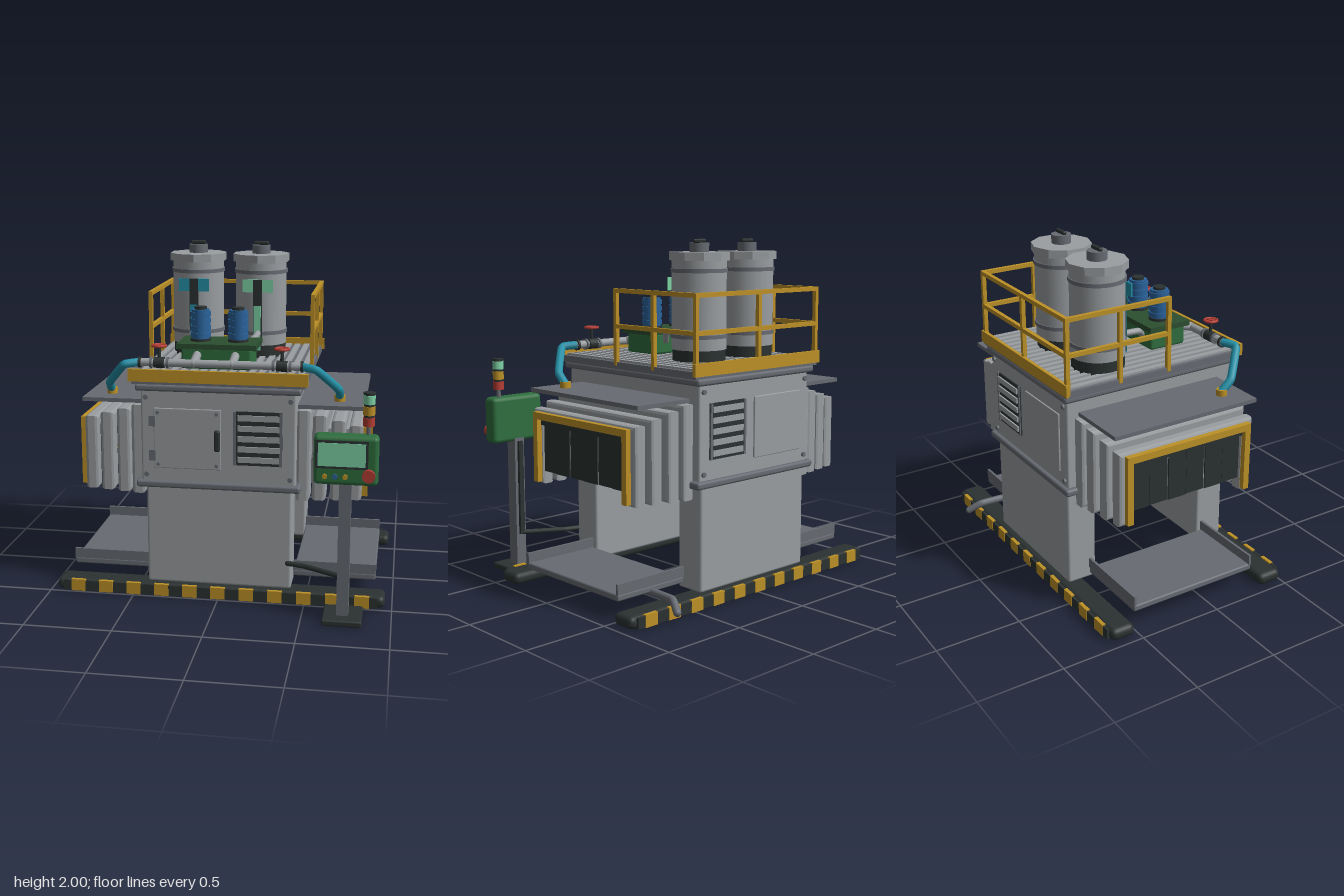
import * as THREE from 'three';
import { RoundedBoxGeometry } from 'three/addons/geometries/RoundedBoxGeometry.js';

export function createModel() {
  const root = new THREE.Group();
  const mat = (name, color) => {
    const m = new THREE.MeshStandardMaterial({ color });
    m.name = name;
    return m;
  };
  const light = mat('lightGrey', 0x9a9ea1), mid = mat('midGrey', 0x676b72), dark = mat('charcoal', 0x2b3231);
  const gold = mat('safetyYellow', 0xbd9127), green = mat('green', 0x2f6f3f), deep = mat('deepGreen', 0x2c4f31);
  const teal = mat('teal', 0x2391a8), mint = mat('mint', 0x7ed3a6), blue = mat('blue', 0x2a639c), red = mat('red', 0xb63e34);

  const add = (name, geo, m, x = 0, y = 0, z = 0) => {
    const o = new THREE.Mesh(geo, m);
    o.name = name;
    o.position.set(x, y, z);
    root.add(o);
    return o;
  };
  // box given by its low and high limits, optionally rounded
  const box = (name, m, x0, x1, y0, y1, z0, z1, r = 0) => {
    const s = [x1 - x0, y1 - y0, z1 - z0];
    const g = r ? new RoundedBoxGeometry(...s, 2, r) : new THREE.BoxGeometry(...s);
    return add(name, g, m, (x0 + x1) / 2, (y0 + y1) / 2, (z0 + z1) / 2);
  };
  // upright cylinder from y0 to y1
  const cyl = (name, m, r, x, y0, y1, z, seg = 20) =>
    add(name, new THREE.CylinderGeometry(r, r, y1 - y0, seg), m, x, (y0 + y1) / 2, z);
  const cylX = (name, m, r, x, len, y, z) => {
    const o = add(name, new THREE.CylinderGeometry(r, r, len, 16), m, x, y, z);
    o.rotation.z = Math.PI / 2;
  };
  const cylZ = (name, m, r, x, y, z, len) => {
    const o = add(name, new THREE.CylinderGeometry(r, r, len, 16), m, x, y, z);
    o.rotation.x = Math.PI / 2;
  };
  const pipe = (name, m, r, pts) => {
    const c = new THREE.CatmullRomCurve3(pts.map(p => new THREE.Vector3(...p)), false, 'catmullrom', 0.15);
    add(name, new THREE.TubeGeometry(c, 32, r, 10), m);
    // end caps
    for (const p of [pts[0], pts[pts.length - 1]]) add(name + 'End', new THREE.SphereGeometry(r, 10, 8), m, ...p);
  };
  // inverted U in the z-y plane, centred on the tunnel, extruded along x from x0
  const ZC = -0.09;
  const arch = (name, m, x0, w, half, top, inHalf, inTop, bottom, bevel) => {
    const b = bevel, s = new THREE.Shape();
    [[-half + b, bottom + b], [-half + b, top - b], [half - b, top - b], [half - b, bottom + b],
      [inHalf + b, bottom + b], [inHalf + b, inTop + b], [-inHalf - b, inTop + b], [-inHalf - b, bottom + b]]
      .forEach(([u, v], i) => i ? s.lineTo(u, v) : s.moveTo(u, v));
    s.closePath();
    const g = new THREE.ExtrudeGeometry(s, { depth: w - 2 * b, bevelEnabled: b > 0, bevelSize: b, bevelThickness: b, bevelSegments: 2 });
    g.translate(0, 0, b - w / 2);
    g.rotateY(Math.PI / 2);
    add(name, g, m, x0 + w / 2, 0, ZC);
  };

  // skids with hazard strips on their outer edges
  for (const [z0, z1, edge] of [[0.345, 0.495, 0.493], [-0.67, -0.525, -0.675]]) {
    box('skid', dark, -0.96, 0.96, 0.01, 0.08, z0, z1, 0.03);
    box('hazardStripBase', dark, -0.92, 0.92, 0.015, 0.075, edge - 0.008, edge + 0.008);
    for (let i = 0; i < 11; i++) {
      const x = -0.83 + 0.166 * i;
      box('hazardStripe', gold, x - 0.042, x + 0.042, 0.012, 0.082, edge - 0.011, edge + 0.011);
    }
  }

  // legs, housing and its trims
  box('frontLeg', light, -0.42, 0.42, 0.08, 0.68, 0.27, 0.45, 0.015);
  box('backLeg', light, -0.42, 0.42, 0.08, 0.68, -0.63, -0.45, 0.015);
  box('housing', light, -0.44, 0.44, 0.68, 1.25, -0.635, 0.475, 0.012);
  box('lowerTrim', mid, -0.47, 0.47, 0.668, 0.71, -0.66, 0.495, 0.015);
  box('upperTrim', mid, -0.47, 0.47, 1.23, 1.27, -0.66, 0.495, 0.015);
  box('roofDeck', mid, -0.49, 0.49, 1.27, 1.31, -0.66, 0.49);
  for (let i = 0; i < 17; i++) {
    const x = -0.45 + i * 0.05625;
    box('deckRib', light, x - 0.017, x + 0.017, 1.31, 1.322, -0.63, 0.47);
  }
  box('frontToeBoard', gold, -0.505, 0.505, 1.285, 1.355, 0.48, 0.5);
  box('backToeBoard', gold, -0.505, 0.505, 1.285, 1.355, -0.67, -0.65);

  // front and back panels, vents and bolts
  for (const [s, z] of [[1, 0.475], [-1, -0.635]]) {
    const slab = (name, m, x0, x1, y0, y1, t, r) => box(name, m, x0, x1, y0, y1, Math.min(z, z + s * t), Math.max(z, z + s * t), r);
    slab('accessPanel', light, -0.365, 0.02, 0.785, 1.135, 0.012, 0.005);
    slab('ventPlate', dark, 0.09, 0.365, 0.82, 1.13, 0.008);
    slab('ventFrame', mid, 0.09, 0.105, 0.82, 1.13, 0.014);
    slab('ventFrame', mid, 0.35, 0.365, 0.82, 1.13, 0.014);
    for (let i = 0; i < 5; i++) slab('ventSlat', light, 0.115, 0.35, 0.838 + i * 0.06, 0.87 + i * 0.06, 0.018);
    for (const x of [-0.41, 0.41]) for (const y of [0.745, 1.195]) cylZ('housingBolt', mid, 0.014, x, y, z, 0.024);
    if (s > 0) {
      for (const x of [-0.34, -0.005]) for (const y of [0.81, 1.11]) cylZ('panelBolt', mid, 0.01, x, y, z + 0.01, 0.02);
      for (const y of [0.86, 1.06]) slab('hinge', mid, -0.392, -0.355, y - 0.03, y + 0.03, 0.02);
      slab('doorHandle', dark, -0.018, 0.015, 0.895, 1.018, 0.03, 0.012);
    }
  }

  for (const s of [1, -1]) {
    const side = (name, m, x0, x1, ...rest) => box(name, m, Math.min(s * x0, s * x1), Math.max(s * x0, s * x1), ...rest);
    const left = (x0, w) => (s > 0 ? x0 : -x0 - w);
    // tunnel hood: stepped bellows, yellow mouth, curtain
    [[0.435, 0.08, 0.5, 1.13], [0.525, 0.08, 0.482, 1.1], [0.628, 0.08, 0.462, 1.07], [0.728, 0.078, 0.443, 1.04]]
      .forEach(([x, w, half, top]) => arch('hoodSegment', light, left(x, w), w, half, top, 0.365, 0.97, 0.605, 0.018));
    side('hoodLining', light, 0.44, 0.8, 0.97, 1, ZC - 0.36, ZC + 0.36);
    arch('mouthFrame', gold, left(0.805, 0.033), 0.033, 0.407, 1.025, 0.37, 0.985, 0.62, 0);
    side('curtainRail', dark, 0.785, 0.81, 0.95, 0.987, ZC - 0.37, ZC + 0.37);
    for (let i = 0; i < 6; i++) {
      const z = ZC - 0.366 + i * 0.122, o = 0.006 * (i % 2);
      side('curtainStrip', dark, 0.79 - o, 0.798 - o, 0.68, 0.955, z + 0.003, z + 0.119);
    }
    // canopy and floor tray
    side('canopy', mid, 0.44, 0.81, 1.132, 1.155, -0.56, 0.37);
    side('floorTray', mid, 0.42, 0.9, 0.11, 0.148, -0.495, 0.315, 0.01);
    side('trayLip', mid, 0.42, 0.9, 0.145, 0.205, 0.3, 0.315);
    side('trayLip', mid, 0.42, 0.9, 0.145, 0.205, -0.495, -0.48);
    // side railings
    for (const z of [-0.005, -0.32, -0.65]) side('railPost', gold, 0.47, 0.493, 1.29, 1.725, z - 0.012, z + 0.012);
    for (const y of [1.513, 1.713]) side('sideRail', gold, 0.47, 0.493, y - 0.012, y + 0.012, -0.66, 0.007);
    // supply pipe down to the canopy
    pipe('supplyPipe', teal, 0.024, [[s * 0.46, 1.375, 0.385], [s * 0.545, 1.365, 0.42], [s * 0.662, 1.235, 0.3], [s * 0.665, 1.175, 0.235]]);
    cyl('supplyCollar', gold, 0.031, s * 0.665, 1.15, 1.19, 0.235);
    // valve with hand wheel
    cylX('valveBody', dark, 0.031, s * 0.348, 0.06, 1.375, 0.385);
    cyl('valveStem', dark, 0.01, s * 0.348, 1.38, 1.475, 0.385, 10);
    const wheel = add('handWheel', new THREE.TorusGeometry(0.037, 0.008, 8, 20), red, s * 0.348, 1.472, 0.385);
    wheel.rotation.x = Math.PI / 2;
    box('wheelSpoke', red, s * 0.348 - 0.035, s * 0.348 + 0.035, 1.467, 1.477, 0.379, 0.391);
    box('wheelSpoke', red, s * 0.348 - 0.006, s * 0.348 + 0.006, 1.467, 1.477, 0.35, 0.42);
    for (const x of [0.3, 0.395, 0.46]) cylX('flange', x > 0.4 ? dark : mid, 0.032, s * x, 0.014, 1.375, 0.385);
  }
  // back railing and front manifold
  for (const y of [1.513, 1.713]) box('backRail', gold, -0.493, 0.493, y - 0.012, y + 0.012, -0.662, -0.638);
  box('backRailPost', gold, -0.012, 0.012, 1.29, 1.725, -0.662, -0.638);
  cylX('manifold', light, 0.023, 0, 0.94, 1.375, 0.385);

  // tanks with level gauges
  for (const [x, accent] of [[-0.25, teal], [0.137, mint]]) {
    const z = -0.32;
    cyl('tankBase', dark, 0.152, x, 1.31, 1.385, z);
    cyl('tankBody', light, 0.155, x, 1.385, 1.89, z, 28);
    for (const y of [1.45, 1.815]) cyl('tankBand', mid, 0.162, x, y, y + 0.022, z, 28);
    cyl('tankLid', light, 0.173, x, 1.882, 1.928, z, 10).material.flatShading = false;
    root.children.at(-1).geometry = root.children.at(-1).geometry.toNonIndexed();
    root.children.at(-1).geometry.computeVertexNormals();
    cyl('tankNeck', mid, 0.056, x, 1.928, 1.978, z);
    box('lidHandle', dark, x - 0.046, x + 0.046, 1.978, 2, z - 0.012, z + 0.012, 0.008);
    box('gaugePlate', accent, x - 0.092, x + 0.092, 1.71, 1.785, -0.162, -0.152);
    box('gaugeTube', dark, x - 0.026, x + 0.026, 1.37, 1.785, -0.162, -0.147);
    box('gaugeLevel', accent, x - 0.021, x + 0.021, 1.36, 1.63, -0.15, -0.141);
  }
  // feed pipes from tanks to pumps
  pipe('feedPipe', light, 0.019, [[-0.245, 1.465, -0.17], [-0.245, 1.46, -0.05], [-0.16, 1.4, 0.03]]);
  pipe('feedPipe', light, 0.019, [[0.14, 1.465, -0.17], [0.14, 1.46, -0.05], [0.07, 1.4, 0.03]]);

  // pump unit
  box('pumpBox', green, -0.245, 0.16, 1.32, 1.445, 0.04, 0.275, 0.015);
  box('pumpTop', deep, -0.27, 0.19, 1.437, 1.468, 0.02, 0.29);
  for (const x of [-0.152, 0.068]) {
    cyl('motorBase', dark, 0.06, x, 1.468, 1.482, 0.155);
    cyl('motor', blue, 0.053, x, 1.48, 1.65, 0.155);
    for (let i = 0; i < 4; i++) cyl('motorRib', blue, 0.06, x, 1.492 + i * 0.04, 1.517 + i * 0.04, 0.155);
    cyl('motorCap', dark, 0.036, x, 1.65, 1.665, 0.155);
    pipe('outletPipe', light, 0.025, [[x, 1.405, 0.26], [x, 1.375, 0.385]]);
  }

  // control console
  box('consoleFoot', dark, 0.62, 0.84, 0.005, 0.04, 0.53, 0.76, 0.01);
  box('consolePole', mid, 0.697, 0.763, 0.04, 0.82, 0.61, 0.685);
  box('consoleBox', green, 0.558, 0.905, 0.8, 1.073, 0.61, 0.713, 0.025);
  box('screenBezel', dark, 0.568, 0.85, 0.895, 1.05, 0.712, 0.719);
  box('screen', mint, 0.582, 0.837, 0.908, 1.037, 0.718, 0.722);
  [[0.62, gold], [0.675, blue], [0.73, gold]].forEach(([x, m]) => cylZ('button', m, 0.014, x, 0.85, 0.716, 0.016));
  cylZ('stopButtonRing', dark, 0.026, 0.855, 0.865, 0.718, 0.016);
  cylZ('stopButton', red, 0.035, 0.855, 0.865, 0.732, 0.026);
  cyl('beaconPole', mid, 0.012, 0.845, 1.06, 1.3, 0.645, 12);
  [red, gold, mint].forEach((m, i) => {
    cyl('beaconLamp', m, 0.032, 0.845, 1.12 + i * 0.06, 1.168 + i * 0.06, 0.645);
    cyl('beaconRing', dark, 0.028, 0.845, 1.167 + i * 0.06, 1.181 + i * 0.06, 0.645);
  });
  cyl('beaconCap', dark, 0.032, 0.845, 1.29, 1.303, 0.645);
  pipe('consoleCable', dark, 0.015, [[0.4, 0.238, 0.45], [0.5, 0.238, 0.48], [0.72, 0.238, 0.605]]);
  box('cableDuct', dark, 0.715, 0.745, 0.23, 0.8, 0.592, 0.611);

  // drain
  pipe('drainPipe', mid, 0.022, [[0.65, 0.11, -0.46], [0.66, 0.11, -0.66], [0.695, 0.065, -0.735]]);
  return root;
}
